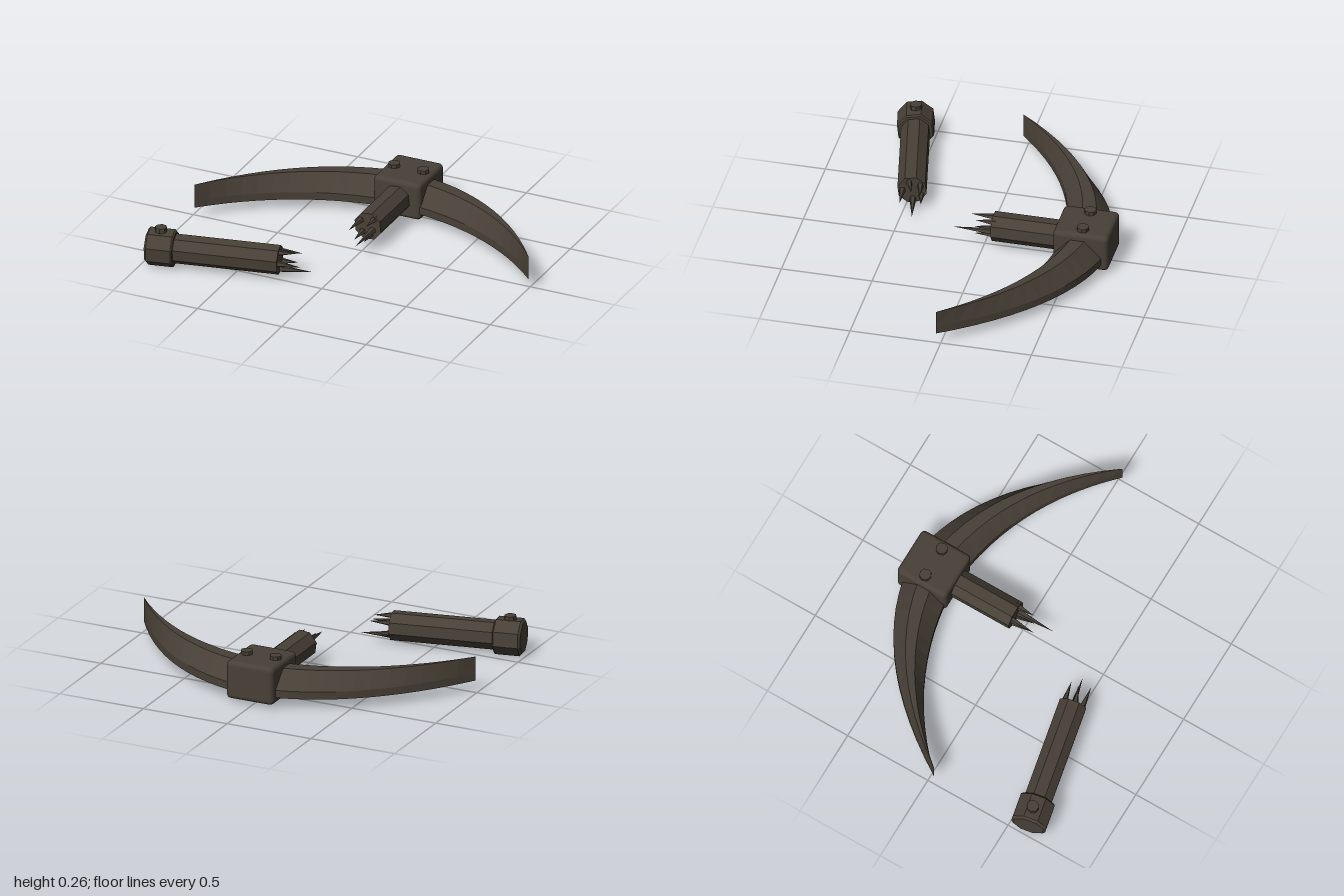
import * as THREE from 'three';
import { RoundedBoxGeometry } from 'three/addons/geometries/RoundedBoxGeometry.js';

const darkIron = new THREE.MeshStandardMaterial({ name: 'darkIron', color: 0x484037 });
darkIron.flatShading = true;

function add(parent, name, geometry, x = 0, y = 0, z = 0) {
  const mesh = new THREE.Mesh(geometry, darkIron);
  mesh.name = name;
  mesh.position.set(x, y, z);
  parent.add(mesh);
  return mesh;
}

// Octagonal bar along +z from z0 to z1
function bar(radius, endRadius, z0, z1) {
  return new THREE.CylinderGeometry(endRadius, radius, z1 - z0, 8)
    .rotateX(Math.PI / 2).rotateZ(0.5).translate(0, 0, (z0 + z1) / 2);
}

// Wooden shaft along +z ending in splinters, each [x, y, length, tip shift]
function brokenShaft(parent, z0, z1, splinters) {
  add(parent, 'shaft', bar(0.081, 0.081, z0, z1));
  for (const [x, y, length, shift] of splinters) {
    const g = new THREE.ConeGeometry(0.021, length + 0.02, 5)
      .rotateX(Math.PI / 2).translate(0, 0, length / 2 - 0.01);
    const p = g.attributes.position;
    for (let i = 0; i < p.count; i++) {
      p.setX(i, p.getX(i) + shift * Math.max(0, p.getZ(i)) / length);
    }
    g.computeVertexNormals();
    add(parent, 'splinter', g, x, y, z1);
  }
}

// Curved blade: six-sided section narrowing to an upright edge at the tip
function bladeGeometry(side) {
  const v2 = (x, z) => new THREE.Vector2(x, z);
  const outer = new THREE.QuadraticBezierCurve(v2(0.13, -0.68), v2(0.615, -0.57), v2(0.99, 0.025));
  const inner = new THREE.QuadraticBezierCurve(v2(0.13, -0.42), v2(0.615, -0.35), v2(0.99, 0.025));
  const section = [[0, 0.062], [0, 0.105], [0.36, 0.2], [0.66, 0.2], [1, 0.105], [1, 0.062]];
  const steps = 12, n = section.length, points = [], index = [];
  for (let s = 0; s <= steps; s++) {
    const a = outer.getPoint(s / steps), b = inner.getPoint(s / steps);
    for (const [across, y] of section) {
      const p = a.clone().lerp(b, across);
      points.push(side * p.x, y, p.y);
    }
  }
  for (let s = 0; s < steps; s++) {
    for (let k = 0; k < n; k++) {
      const a = s * n + k, b = s * n + (k + 1) % n, c = a + n, d = b + n;
      if (side > 0) index.push(a, b, c, b, d, c);
      else index.push(a, c, b, b, c, d);
    }
  }
  const g = new THREE.BufferGeometry();
  g.setAttribute('position', new THREE.Float32BufferAttribute(points, 3));
  g.setIndex(index);
  const flat = g.toNonIndexed();
  flat.computeVertexNormals();
  return flat;
}

export function createModel() {
  const model = new THREE.Group();
  model.name = 'brokenPickaxe';

  // Head with its two blades and bolts
  const head = new THREE.Group();
  head.name = 'head';
  head.position.x = 0.01;
  model.add(head);
  add(head, 'headBlock', new RoundedBoxGeometry(0.28, 0.215, 0.305, 3, 0.025), 0, 0.132, -0.5625);
  for (const side of [-1, 1]) {
    add(head, side > 0 ? 'leftBlade' : 'rightBlade', bladeGeometry(side));
    add(head, 'headBolt', new THREE.CylinderGeometry(0.033, 0.033, 0.04, 8), side * 0.086, 0.24, -0.565);
  }

  // Short piece of shaft still fixed in the head
  const stub = new THREE.Group();
  stub.name = 'shaftStub';
  stub.position.set(0.01, 0.13, 0);
  model.add(stub);
  brokenShaft(stub, -0.45, -0.052, [
    [0.03, -0.018, 0.217, 0], [-0.04, 0.03, 0.14, -0.005], [-0.03, -0.035, 0.115, 0.005],
    [0.035, 0.045, 0.09, 0], [0.015, -0.045, 0.1, 0.01],
  ]);

  // Loose handle lying beside the head
  const handle = new THREE.Group();
  handle.name = 'looseHandle';
  handle.position.set(-0.98, 0.104, 0.614);
  handle.rotation.y = Math.PI / 2 + 0.205;
  model.add(handle);
  brokenShaft(handle, 0.1, 0.73, [
    [0.045, 0.03, 0.115, 0], [0.005, -0.055, 0.18, 0], [-0.05, 0, 0.128, -0.012],
    [0.05, -0.03, 0.09, 0], [-0.02, 0.05, 0.1, 0.02],
  ]);
  add(handle, 'pommel', bar(0.104, 0.104, 0.012, 0.147));
  add(handle, 'pommelEnd', bar(0.09, 0.104, 0, 0.012));
  add(handle, 'pommelRim', bar(0.104, 0.096, 0.147, 0.155));
  add(handle, 'pommelBolt', new THREE.CylinderGeometry(0.033, 0.033, 0.04, 8), 0, 0.1, 0.075);

  return model;
}
